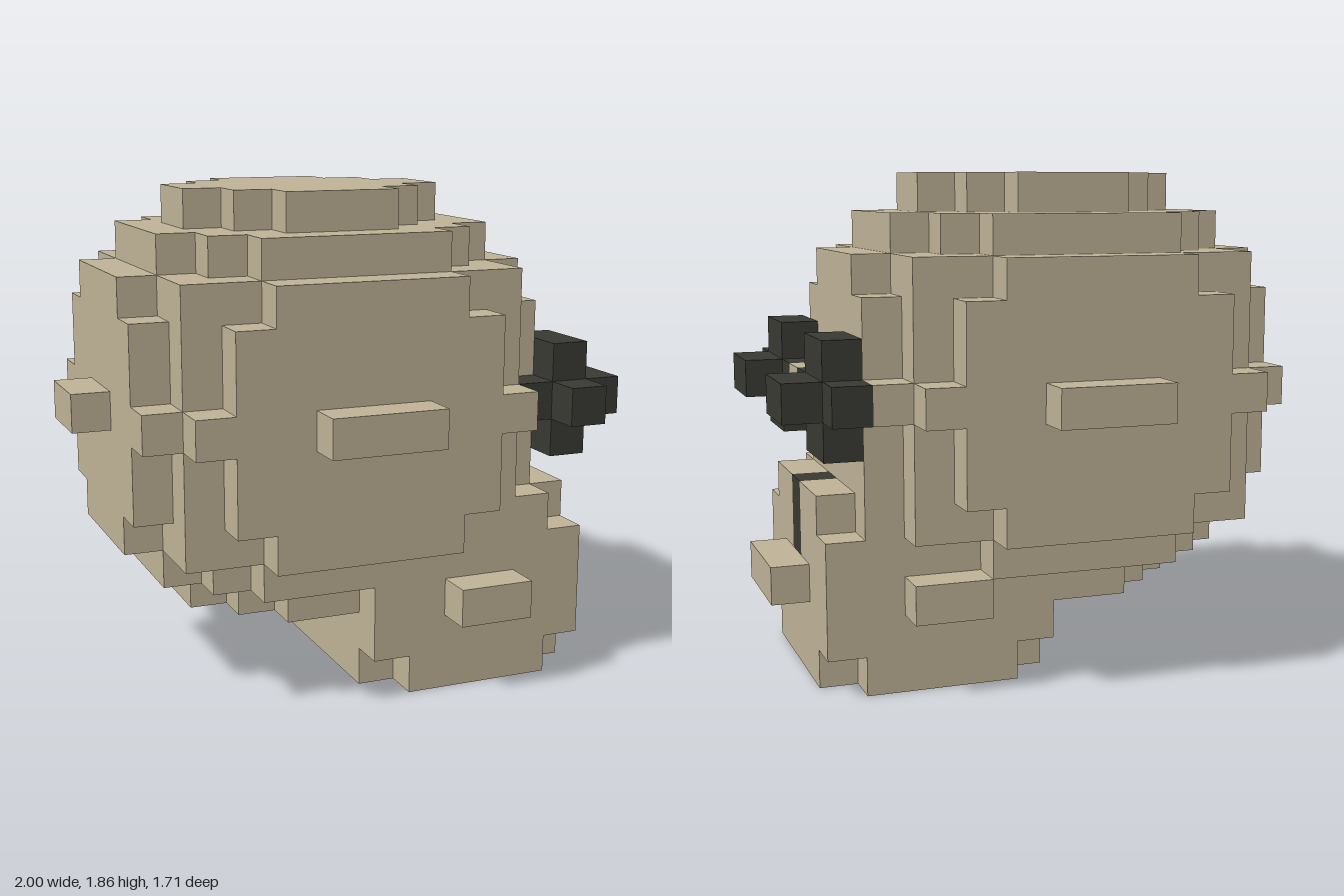
import * as THREE from 'three';

const U = 1 / 7; // edge length of one cube

export function createModel() {
  const bone = new THREE.MeshStandardMaterial({ color: 0xc0b498 });
  bone.name = 'sand';
  const dark = new THREE.MeshStandardMaterial({ color: 0x3a3a34 });
  dark.name = 'charcoal';

  // Grid of cubes: each filled cell remembers its part
  const cells = new Map();
  const key = (x, y, z) => `${x},${y},${z}`;
  const fill = (part, [x0, x1], [y0, y1], [z0, z1]) => {
    for (let x = x0; x < x1; x++)
      for (let y = y0; y < y1; y++)
        for (let z = z0; z < z1; z++) cells.set(key(x, y, z), { part, p: [x, y, z] });
  };

  // Head: core block with stepped rounded plates on every side
  fill('head', [-5, 4], [4, 11], [-4, 4]);
  for (let i = 0; i < 3; i++) {
    fill('head', [-4 + i, 3 - i], [2, 13], [-1 - i, 1 + i]); // crown and underside
    fill('head', [-5 + i, 4 - i], [3, 12], [-2 - i, 2 + i]);
  }
  [[4, 11], [5, 10], [7, 8]].forEach((ys, i) => {
    fill('head', [-3 - i, 2 + i], ys, [-5, 5]); // cheeks
    fill('head', [-6, 5], ys, [-2 - i, 2 + i]); // face and back
  });
  fill('head', [-2, 1], [7, 8], [-6, 6]); // side knobs
  fill('head', [-7, -6], [7, 8], [-1, 1]); // back knob
  fill('head', [5, 6], [7, 8], [-1, 1]); // bridge between the eyes

  // Snout with clipped corners and small knobs
  fill('snout', [0, 6], [1, 4], [-3, 4]);
  for (const [ys, x0] of [[[0, 1], 0], [[4, 5], 0]]) {
    fill('snout', [x0, 6], ys, [-2, 3]);
    fill('snout', [x0 + 1, 5], ys, [-3, 4]);
  }
  fill('snout', [6, 7], [2, 3], [-1, 2]);
  fill('snout', [2, 4], [2, 3], [-4, 5]);

  // Eyes: stubby crosses around a centre line
  for (const [name, c] of [['frontEye', 3], ['backEye', -2]]) {
    fill(name, [5, 6], [6, 9], [c - 1, c + 1]);
    fill(name, [5, 6], [7, 8], [c - 2, c + 2]);
    fill(name, [4, 7], [7, 8], [c - 1, c + 1]);
  }

  // Nose stripe, flush with the snout
  fill('nose', [5, 6], [3, 5], [0, 1]);

  // Keep only the outer faces of the cubes, gathered per part
  const faces = {};
  for (const { part, p } of cells.values()) {
    const out = (faces[part] ??= { pos: [], nor: [] });
    for (let a = 0; a < 3; a++) {
      for (const s of [1, -1]) {
        const n = [0, 0, 0];
        n[a] = s;
        if (cells.has(key(p[0] + n[0], p[1] + n[1], p[2] + n[2]))) continue;
        const b = (a + 1) % 3, c = (a + 2) % 3;
        const loop = [[0, 0], [1, 0], [1, 1], [0, 1]];
        if (s < 0) loop.reverse();
        const quad = loop.map(([i, j]) => {
          const v = [...p];
          if (s > 0) v[a] += 1;
          v[b] += i;
          v[c] += j;
          return v.map((t) => t * U);
        });
        for (const k of [0, 1, 2, 0, 2, 3]) {
          out.pos.push(...quad[k]);
          out.nor.push(...n);
        }
      }
    }
  }

  const group = new THREE.Group();
  group.name = 'blockHead';
  const materials = { head: bone, snout: bone, frontEye: dark, backEye: dark, nose: dark };
  for (const [part, { pos, nor }] of Object.entries(faces)) {
    const geo = new THREE.BufferGeometry();
    geo.setAttribute('position', new THREE.Float32BufferAttribute(pos, 3));
    geo.setAttribute('normal', new THREE.Float32BufferAttribute(nor, 3));
    const mesh = new THREE.Mesh(geo, materials[part]);
    mesh.name = part;
    group.add(mesh);
  }
  return group;
}
